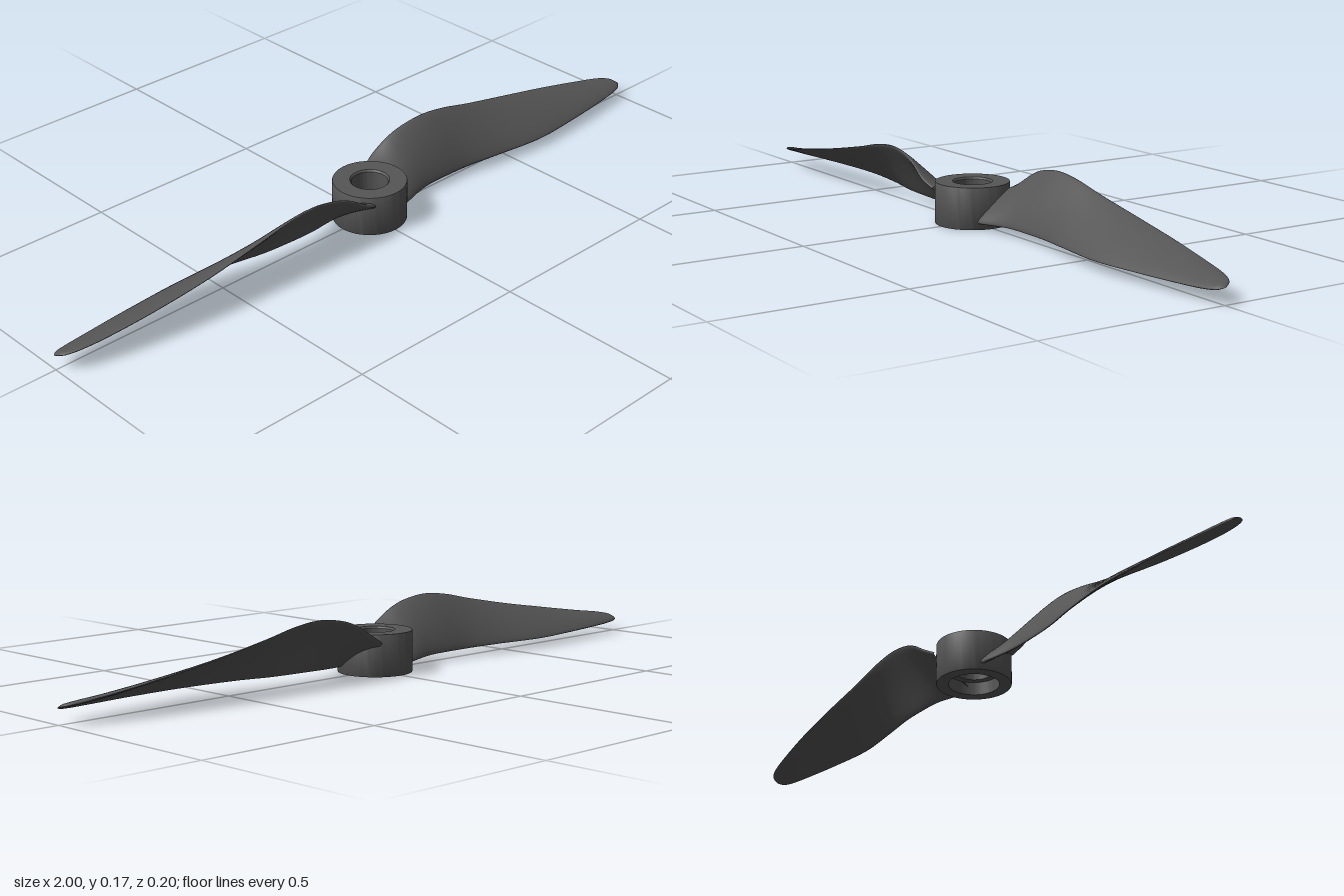
import * as THREE from 'three';
import { toCreasedNormals } from 'three/addons/utils/BufferGeometryUtils.js';

const material = new THREE.MeshStandardMaterial({ color: 0x555555 });

// Blade stations: x, back edge z and y, front edge z and y, thickness
const STATIONS = [
  [0.06, -0.085, 0.090, 0.045, 0.018, 0.022],
  [0.10, -0.094, 0.112, 0.040, 0.018, 0.022],
  [0.15, -0.091, 0.143, 0.027, 0.020, 0.020],
  [0.20, -0.087, 0.161, 0.019, 0.022, 0.018],
  [0.27, -0.083, 0.170, 0.019, 0.023, 0.016],
  [0.35, -0.081, 0.162, 0.024, 0.024, 0.015],
  [0.45, -0.080, 0.140, 0.040, 0.026, 0.014],
  [0.60, -0.079, 0.111, 0.057, 0.026, 0.013],
  [0.75, -0.070, 0.086, 0.049, 0.028, 0.012],
  [0.88, -0.054, 0.065, 0.035, 0.030, 0.012],
  [0.95, -0.040, 0.055, 0.025, 0.032, 0.012],
  [0.985, -0.024, 0.048, 0.016, 0.035, 0.010],
  [1.00, -0.003, 0.041, 0.003, 0.039, 0.000],
];

// Loft a thin, slightly cambered section along the two edge curves
function bladeGeometry(steps = 120, sides = 32) {
  const edge = (zi, yi) => new THREE.CatmullRomCurve3(
    STATIONS.map((s) => new THREE.Vector3(s[0], s[yi], s[zi])), false, 'catmullrom');
  const back = edge(1, 2), front = edge(3, 4);
  const xAxis = new THREE.Vector3(1, 0, 0);
  const positions = [], indices = [];
  for (let i = 0; i <= steps; i++) {
    const t = i / steps;
    const b = back.getPoint(t), f = front.getPoint(t);
    const k = t * (STATIONS.length - 1), n = Math.min(Math.floor(k), STATIONS.length - 2);
    const thick = THREE.MathUtils.lerp(STATIONS[n][5], STATIONS[n + 1][5], k - n);
    const centre = b.clone().add(f).multiplyScalar(0.5);
    const half = f.clone().sub(b).multiplyScalar(0.5);
    const normal = xAxis.clone().cross(half).normalize();
    const camber = half.length() * 0.08;
    for (let j = 0; j < sides; j++) {
      const a = (j / sides) * Math.PI * 2, s = Math.sin(a);
      const lift = Math.sign(s) * Math.abs(s) ** 0.8 * thick / 2 - camber * s * s;
      const p = centre.clone().addScaledVector(half, Math.cos(a)).addScaledVector(normal, lift);
      positions.push(p.x, p.y, p.z);
      if (i < steps) {
        const j2 = (j + 1) % sides, r = i * sides, q = r + sides;
        indices.push(r + j, r + j2, q + j, r + j2, q + j2, q + j);
      }
    }
  }
  const g = new THREE.BufferGeometry();
  g.setAttribute('position', new THREE.Float32BufferAttribute(positions, 3));
  g.setIndex(indices);
  g.computeVertexNormals();
  return g;
}

export function createModel() {
  const model = new THREE.Group();
  model.name = 'propeller';

  // Hub ring with a through bore and a wider recess underneath
  const profile = [
    [0.066, 0], [0.097, 0], [0.098, 0.002], [0.098, 0.108], [0.097, 0.11],
    [0.052, 0.11], [0.048, 0.105], [0.048, 0.035], [0.066, 0.035], [0.066, 0],
  ].map(([r, y]) => new THREE.Vector2(r, y));
  const hub = new THREE.Mesh(
    toCreasedNormals(new THREE.LatheGeometry(profile, 72), 0.5), material);
  hub.name = 'hub';
  model.add(hub);

  // Two identical blades, half a turn apart
  const geometry = bladeGeometry();
  ['leftBlade', 'rightBlade'].forEach((name, i) => {
    const blade = new THREE.Mesh(geometry, material);
    blade.name = name;
    blade.rotation.y = i * Math.PI;
    model.add(blade);
  });
  return model;
}
